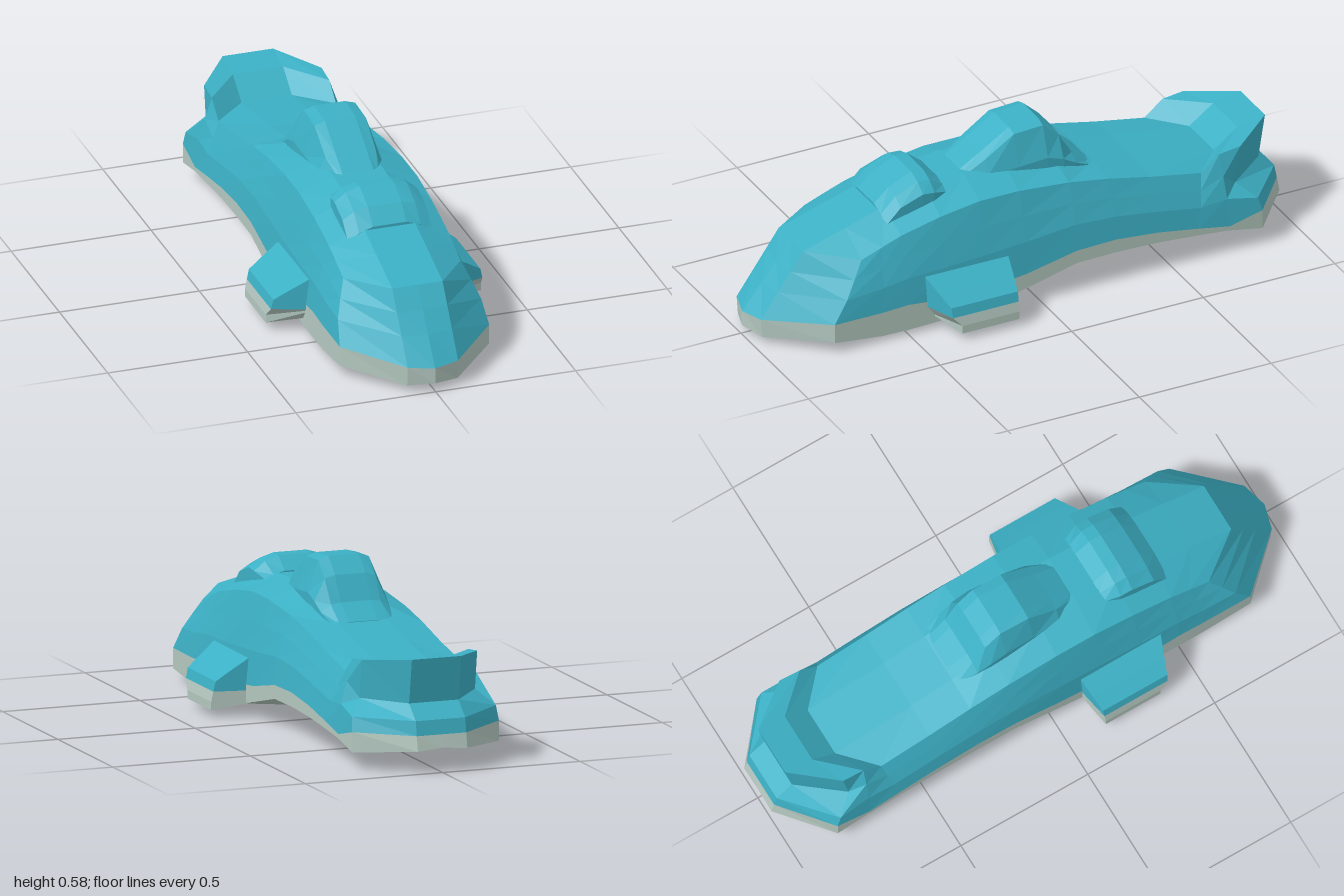
import * as THREE from 'three';

const teal = new THREE.MeshStandardMaterial({ color: 0x3cb0c5 });
teal.name = 'teal paint';
const grey = new THREE.MeshStandardMaterial({ color: 0xb4c8c0 });
grey.name = 'pale grey underside';

const lerp = THREE.MathUtils.lerp;
const mix = (a, b, t) => a.map((v, i) => lerp(v, b[i], t));
const flip = ([x, y, z]) => [-x, y, z];
// Half row ending on the centre line -> full row
const full = (half) => [...half, ...half.slice(0, -1).reverse().map(flip)];

// Faceted skin over a grid of points
function skin(name, rows, material) {
  const pos = [];
  for (let i = 0; i < rows.length - 1; i++) {
    for (let j = 0; j < rows[i].length - 1; j++) {
      const a = rows[i][j], b = rows[i + 1][j], c = rows[i + 1][j + 1], d = rows[i][j + 1];
      pos.push(...a, ...b, ...c, ...a, ...c, ...d);
    }
  }
  const g = new THREE.BufferGeometry();
  g.setAttribute('position', new THREE.Float32BufferAttribute(pos, 3));
  g.computeVertexNormals();
  const mesh = new THREE.Mesh(g, material);
  mesh.name = name;
  return mesh;
}

// Body stations: z, bottom y, colour line y, shoulder y, top y,
// then z of shoulder, top and keel where they differ
const stations = [
  [0.78, 0.022, 0.11, 0.30, 0.315, 0.65, 0.81, 0.965],
  [0.60, 0.002, 0.11, 0.33, 0.365, 0.57, 0.65, 0.70],
  [0.50, 0.0, 0.115, 0.355, 0.41],
  [0.35, 0.004, 0.1, 0.39, 0.445],
  [0.20, 0.012, 0.1, 0.412, 0.457],
  [0.05, 0.045, 0.118, 0.412, 0.457],
  [-0.14, 0.092, 0.158, 0.395, 0.43],
  [-0.29, 0.095, 0.162, 0.37, 0.38],
  [-0.45, 0.09, 0.147, 0.335, 0.345],
  [-0.60, 0.078, 0.122, 0.30, 0.30, -0.64, -0.75, -0.62],
  [-0.72, 0.066, 0.10, 0.355, 0.365, -0.71, -0.84, -0.78],
  [-0.845, 0.06, 0.13, 0.365, 0.385, -0.79, -0.945, -1.0],
];

function buildBody() {
  const group = new THREE.Group();
  group.name = 'body';
  const upper = [], hull = [];
  const last = stations.length - 1;
  stations.forEach(([z, yb, yl, ys, yt, zs = z, zt = z, zk = z], i) => {
    const line = [0.267, yl, z], shoulder = [0.21, ys, zs];
    let side = mix(line, shoulder, 0.4), waist = mix(line, shoulder, 0.7);
    side[0] = 0.256;
    waist[0] = 0.234;
    if (i === last) {
      side = [0.262, 0.18, -0.83];
      waist = [0.21, 0.23, -0.77];
    }
    upper.push(full([line, side, waist, shoulder, [0.09, yt, zt], [0, yt, zt]]));
    const keel = i === last ? yb + 0.018 : yb;
    const half = [line, [0.267, yb + (i === last ? 0 : 0.018), z], [0.09, keel, zk],
      [0, keel + 0.008, zk + (i === 0 ? 0.03 : 0)]];
    hull.push(full(half).reverse());
  });
  group.add(skin('upperBody', upper, teal), skin('hull', hull, grey));

  // Nose panels, top to bottom, across from right to left
  const u = upper[0], top = u[4], nl = [0.09, 0.09, 0.97], nc = [0, 0.085, 0.995];
  const noseRows = [3, 2, 1, 0].map((k) => {
    const t = [0, 0.4, 0.7, 1][k];
    return full([u[k], mix(nl, top, t), mix(nc, u[5], t)]).reverse();
  });
  const h = hull[0];
  const noseBottom = [h[5], h[4], h[3]];
  group.add(skin('nose', noseRows, teal));
  group.add(skin('bumper', [noseRows[3], full(noseBottom).reverse()], grey));

  // Stepped tail panels below the spoiler lip, across from left to right
  const v = upper[last], zy = [[0.13, -0.99], [0.18, -0.98], [0.23, -0.92], [0.385, -0.945]];
  const tailRows = [3, 2, 1, 0].map((k) =>
    full([v[k], [0.09, ...zy[k]], [0, ...zy[k]]]));
  const t = hull[last];
  group.add(skin('tail', tailRows, teal));
  group.add(skin('rearBumper', [tailRows[3], full([t[5], t[4], t[3]])], grey));
  return group;
}

// Raised parts: rows of z, base y, then [half width, y] pairs up to the crown
function hump(name, rows) {
  const rings = rows.map(([z, base, ...p]) =>
    full([[p[0][0], base, z], ...p.map(([x, y]) => [x, y, z]), [0, p[p.length - 1][1], z]]));
  const group = new THREE.Group();
  group.name = name;
  const a = rings[0], b = rings[rings.length - 1];
  const floor = (r) => r.map(([x, , z]) => [x, r[0][1], z]);
  group.add(skin(name + 'Shell', rings, teal));
  group.add(skin(name + 'Front', [floor(a), a], teal));
  group.add(skin(name + 'Back', [b, floor(b)], teal));
  return group;
}

// Side fin, tapering towards its tip
function fin(name, points, material, mirror) {
  const shape = new THREE.Shape(points.map(([x, y]) => new THREE.Vector2(mirror * x, y)));
  const g = new THREE.ExtrudeGeometry(shape, { depth: 1, bevelEnabled: false });
  const p = g.attributes.position;
  for (let i = 0; i < p.count; i++) {
    const t = (Math.abs(p.getX(i)) - 0.25) / 0.135;
    const low = p.getY(i) < 0.07 ? 0.03 : 0;
    p.setZ(i, lerp(lerp(0.115, 0.14, t), lerp(0.435, 0.385, t) - low, p.getZ(i)));
  }
  g.computeVertexNormals();
  const mesh = new THREE.Mesh(g, material);
  mesh.name = name;
  return mesh;
}

export function createModel() {
  const model = new THREE.Group();
  model.name = 'lowPolyCar';
  model.add(buildBody());

  // Hood scoop
  model.add(hump('scoop', [
    [0.525, 0.33, [0.15, 0.37], [0.11, 0.395], [0.06, 0.412]],
    [0.47, 0.34, [0.15, 0.425], [0.11, 0.45], [0.06, 0.462]],
    [0.385, 0.36, [0.15, 0.455], [0.11, 0.485], [0.06, 0.5]],
    [0.34, 0.38, [0.148, 0.45], [0.11, 0.482], [0.06, 0.498]],
    [0.285, 0.38, [0.13, 0.43], [0.10, 0.445], [0.06, 0.455]],
  ]));

  // Cockpit canopy
  model.add(hump('canopy', [
    [0.205, 0.42, [0.08, 0.435], [0.07, 0.445], [0.055, 0.453]],
    [0.12, 0.40, [0.115, 0.44], [0.09, 0.49], [0.055, 0.503]],
    [0.01, 0.40, [0.125, 0.45], [0.092, 0.562], [0.055, 0.572]],
    [-0.10, 0.39, [0.13, 0.46], [0.092, 0.568], [0.055, 0.58]],
    [-0.16, 0.37, [0.13, 0.44], [0.092, 0.515], [0.055, 0.525]],
    [-0.21, 0.36, [0.125, 0.41], [0.09, 0.435], [0.055, 0.44]],
    [-0.28, 0.34, [0.11, 0.375], [0.085, 0.38], [0.05, 0.385]],
  ]));

  // Fins, painted above and pale below
  const top = [[0.23, 0.09], [0.378, 0.09], [0.37, 0.125], [0.32, 0.16], [0.23, 0.22]];
  const under = [[0.23, 0.05], [0.385, 0.026], [0.385, 0.055], [0.378, 0.09], [0.23, 0.09]];
  for (const [label, s] of [['left', 1], ['right', -1]]) {
    model.add(fin(label + 'Fin', top, teal, s), fin(label + 'FinUnderside', under, grey, s));
  }
  return model;
}
